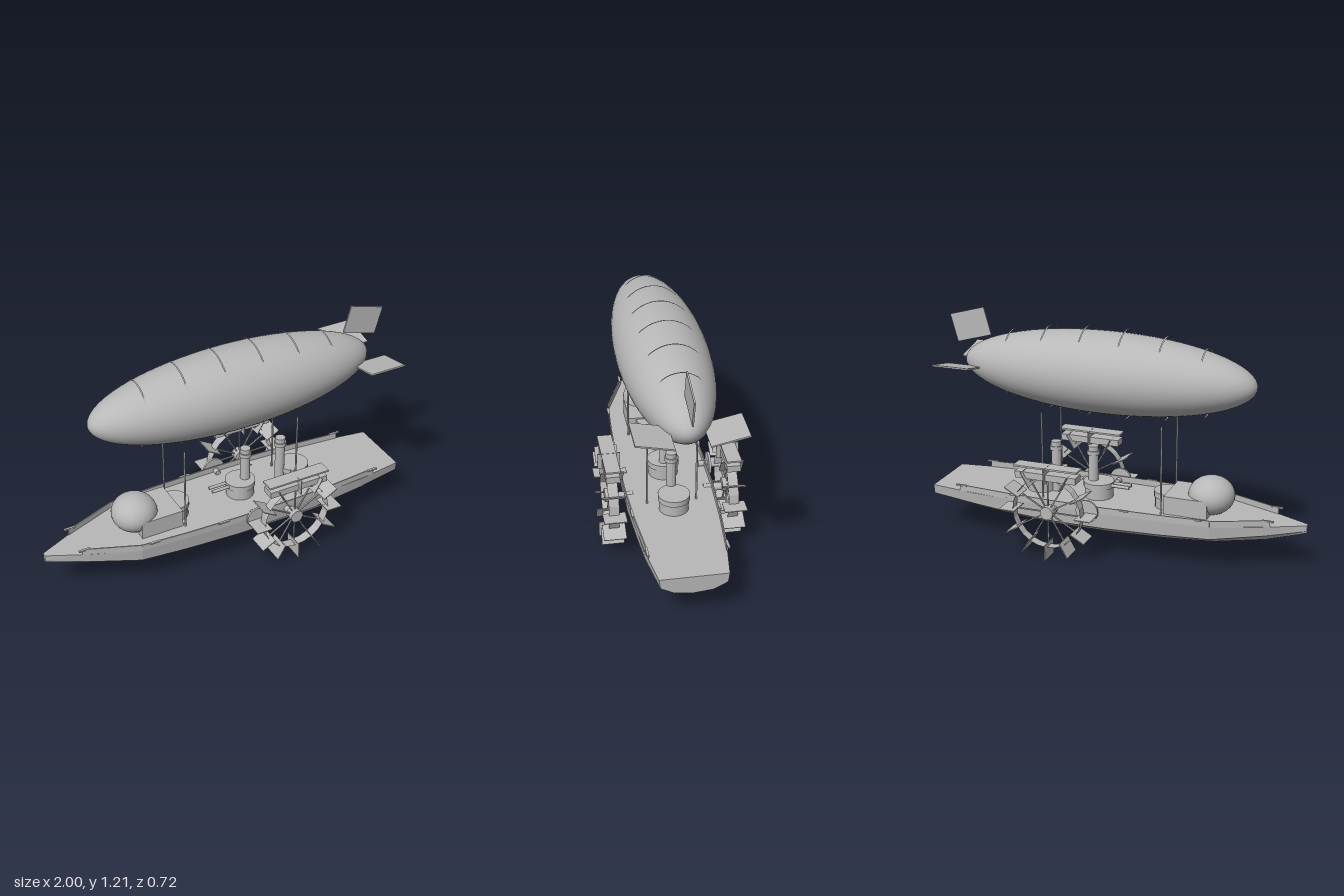
import * as THREE from 'three';

const grey = new THREE.MeshStandardMaterial({ color: 0xb8b8b8 });
grey.name = 'hull grey';
const flatGrey = grey.clone();
flatGrey.name = 'hull grey faceted';
flatGrey.flatShading = true;
flatGrey.side = THREE.DoubleSide;

// hull stations: x, half width, keel height, chine height
const STATIONS = [
  [-1, 0.012, 0.205, 0.22], [-0.8, 0.105, 0.155, 0.2], [-0.55, 0.2, 0.125, 0.18],
  [-0.3, 0.217, 0.108, 0.172], [0, 0.226, 0.098, 0.165], [0.3, 0.226, 0.098, 0.165],
  [0.55, 0.215, 0.112, 0.175], [0.75, 0.203, 0.128, 0.188], [1, 0.168, 0.155, 0.2],
];
const DECK = 0.25;

function halfWidth(x) {
  for (let i = 1; i < STATIONS.length; i++) {
    const a = STATIONS[i - 1], b = STATIONS[i];
    if (x <= b[0]) return a[1] + (b[1] - a[1]) * (x - a[0]) / (b[0] - a[0]);
  }
  return STATIONS.at(-1)[1];
}

function hullGeometry() {
  const pos = [], idx = [], n = 7;
  for (const [x, w, k, c] of STATIONS) {
    const half = [[w, DECK], [w * 0.96, c], [w * 0.56, c + (k - c) * 0.78]];
    const ring = [...half, [0, k], ...half.map(([z, y]) => [-z, y]).reverse()];
    ring.forEach(([z, y]) => pos.push(x, y, z));
  }
  const last = (STATIONS.length - 1) * n;
  for (let s = 0; s < last; s += n) {
    for (let j = 0; j < n; j++) {
      const a = s + j, b = s + (j + 1) % n;
      idx.push(a, b, a + n, b, b + n, a + n);
    }
  }
  for (let j = 1; j < n - 1; j++) {
    idx.push(last, last + j, last + j + 1, 0, j + 1, j);
  }
  const g = new THREE.BufferGeometry();
  g.setAttribute('position', new THREE.Float32BufferAttribute(pos, 3));
  g.setIndex(idx);
  const flat = g.toNonIndexed();
  flat.computeVertexNormals();
  return flat;
}

export function createModel() {
  const model = new THREE.Group();
  const add = (name, geo, x = 0, y = 0, z = 0, mat = grey, parent = model) => {
    const m = new THREE.Mesh(geo, mat);
    m.name = name;
    m.position.set(x, y, z);
    parent.add(m);
    return m;
  };
  const box = (w, h, d) => new THREE.BoxGeometry(w, h, d);
  const cyl = (r, h, seg = 20) => new THREE.CylinderGeometry(r, r, h, seg);

  add('hull', hullGeometry(), 0, 0, 0, flatGrey);

  // low bulwarks following the deck edge, with cleats
  const stops = [-0.83, -0.55, -0.3, 0, 0.3, 0.55, 0.83];
  for (const side of [1, -1]) {
    for (let i = 1; i < stops.length; i++) {
      const x0 = stops[i - 1], x1 = stops[i];
      const z0 = side * halfWidth(x0), z1 = side * halfWidth(x1);
      const rail = add('bulwark', box(Math.hypot(x1 - x0, z1 - z0), 0.035, 0.006),
        (x0 + x1) / 2, 0.265, (z0 + z1) / 2 - side * 0.002);
      rail.rotation.y = -Math.atan2(z1 - z0, x1 - x0);
    }
    for (const x of [-0.82, -0.48, -0.1, 0.5, 0.82]) {
      add('cleat', box(0.06, 0.008, 0.012), x, 0.281, side * (halfWidth(x) + 0.002));
    }
  }

  // gas envelope
  const C = [0.067, 0.93, 0], R = [0.787, 0.21, 0.23];
  const envelope = new THREE.SphereGeometry(1, 48, 32);
  envelope.rotateZ(Math.PI / 2).scale(...R);
  add('envelope', envelope, ...C);

  // ribbon hoops that stand clear above and below the envelope
  for (const x of [-0.46, -0.25, -0.04, 0.17, 0.38, 0.585]) {
    const k = Math.sqrt(1 - ((x - C[0]) / R[0]) ** 2);
    const hoop = new THREE.CylinderGeometry(1, 1, 0.008, 40, 1, true);
    hoop.rotateZ(Math.PI / 2).scale(1, R[1] * k * 1.125, R[2] * k * 0.86);
    add('envelopeHoop', hoop, x, C[1], 0, flatGrey);
  }

  // tail fins
  add('verticalFin', box(0.2, 0.15, 0.008), 0.828, 1.11, 0).rotation.z = -0.27;
  for (const side of [1, -1]) {
    add('sideFin', box(0.2, 0.008, 0.187), 0.825, 0.928, side * 0.172).rotation.x = -side * 0.21;
  }

  // suspension posts
  for (const x of [-0.27, 0.38]) {
    for (const z of [0.125, -0.125]) add('suspensionPost', cyl(0.005, 0.465, 8), x, 0.4825, z);
  }

  // forward dome and deckhouse
  const dome = new THREE.SphereGeometry(1, 24, 16);
  dome.scale(0.12, 0.1, 0.12);
  add('foreDome', dome, -0.5, 0.342, 0);
  add('deckhouse', box(0.23, 0.095, 0.236), -0.395, 0.2975, 0);

  // low drum turrets
  for (const x of [-0.275, 0.115, 0.44]) {
    add('turretDrum', cyl(0.075, 0.06), x, 0.28, 0);
    add('turretCap', cyl(0.081, 0.03), x, 0.322, 0);
  }
  for (const z of [0.018, -0.018]) {
    add('gunBarrel', cyl(0.009, 0.12, 10), 0, 0.322, z).rotation.z = Math.PI / 2;
  }

  // funnels
  const profile = [[0, 0.25], [0.026, 0.25], [0.026, 0.478], [0.033, 0.478], [0.033, 0.5],
    [0.027, 0.5], [0.027, 0.525], [0, 0.525]].map(p => new THREE.Vector2(...p));
  for (const x of [0.145, 0.355]) {
    add('funnel', new THREE.LatheGeometry(profile, 16), x, 0, 0, flatGrey);
  }

  // paddle wheels with guards
  for (const side of [1, -1]) {
    const wheel = new THREE.Group();
    wheel.name = side > 0 ? 'leftPaddleWheel' : 'rightPaddleWheel';
    wheel.position.set(0.275, 0.25, side * 0.302);
    model.add(wheel);

    const rim = new THREE.CylinderGeometry(0.187, 0.187, 0.052, 24, 1, true);
    add('rim', rim.rotateX(Math.PI / 2), 0, 0, 0, flatGrey, wheel);
    add('hub', cyl(0.035, 0.052, 16).rotateX(Math.PI / 2), 0, 0, 0, grey, wheel);
    add('axle', cyl(0.02, 0.12, 12).rotateX(Math.PI / 2), 0, -0.012, -side * 0.06, grey, wheel);
    for (let i = 0; i < 12; i++) {
      const arm = new THREE.Group();
      arm.name = 'paddleArm';
      arm.rotation.z = i * Math.PI / 6;
      wheel.add(arm);
      add('spoke', box(0.19, 0.006, 0.008), 0.095, 0, 0, grey, arm);
      add('paddleBlade', box(0.085, 0.005, 0.115), 0.2075, 0, 0, grey, arm);
    }
    add('guardBeam', box(0.33, 0.035, 0.07), 0, 0.198, 0, grey, wheel);
    add('guardPlate', box(0.345, 0.009, 0.075), 0, 0.244, 0, grey, wheel);

    add('driveDisc', cyl(0.06, 0.012, 20).rotateX(Math.PI / 2), 0.085, 0.26, side * 0.245);
    add('driveShaft', cyl(0.015, 0.06, 10).rotateX(Math.PI / 2), 0.085, 0.26, side * 0.22);
  }
  return model;
}
